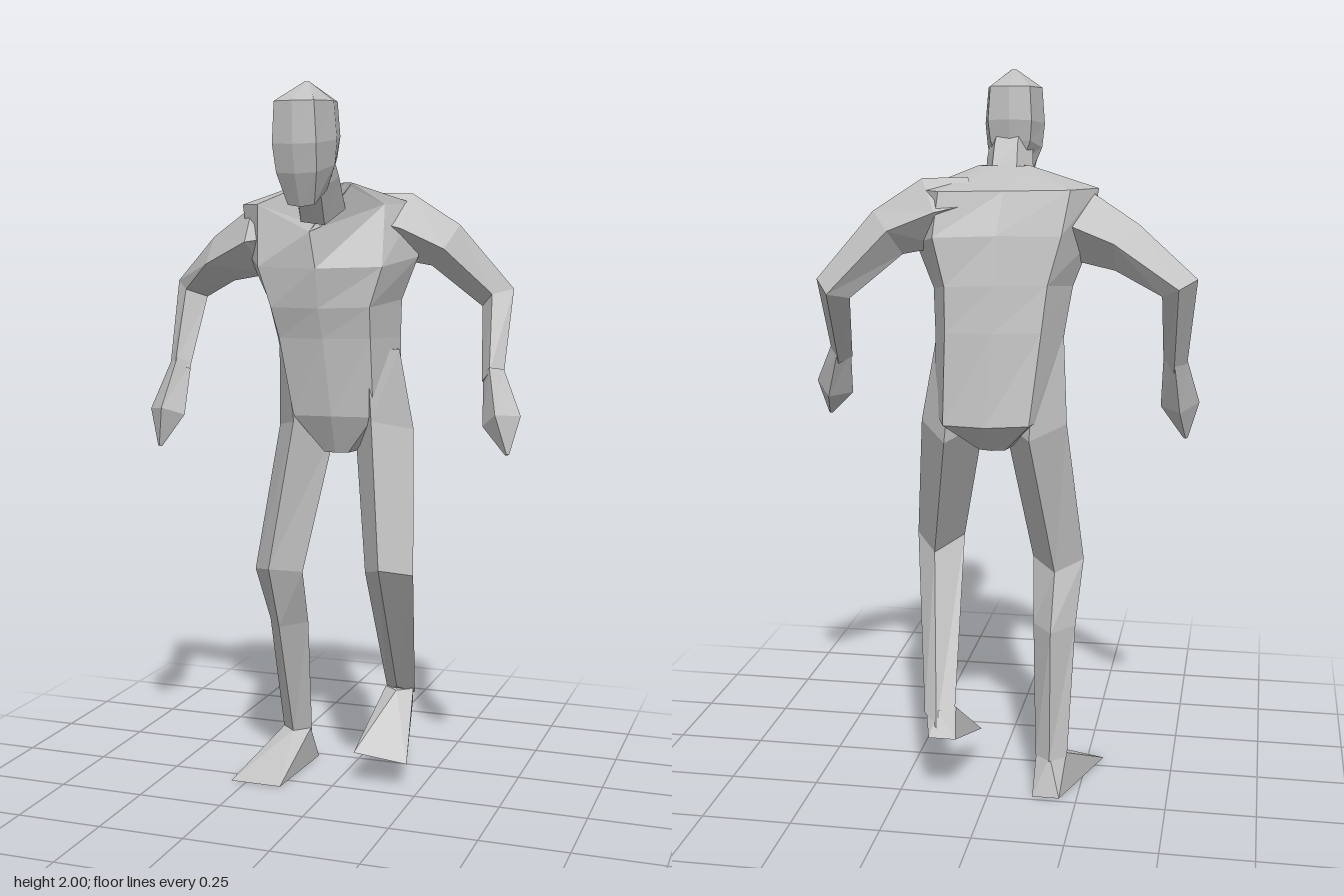
import * as THREE from 'three';
import { ConvexGeometry } from 'three/addons/geometries/ConvexGeometry.js';

const skin = new THREE.MeshStandardMaterial({ color: 0xc0c0c0, flatShading: true });
skin.name = 'plain grey';

// Unit outlines [x, z], counter-clockwise from the front
const diamond = [[0, 1], [1, 0], [0, -1], [-1, 0]];
const octagon = [[0, 1], [.72, .87], [1, 0], [.72, -.87], [0, -1], [-.72, -.87], [-1, 0], [-.72, .87]];

// Skin a stack of rings and cap both ends
function loft(rings) {
  const pos = [];
  const tri = (a, b, c) => pos.push(...a, ...b, ...c);
  const n = rings[0].length;
  for (let k = 0; k < rings.length - 1; k++) {
    const a = rings[k], b = rings[k + 1];
    for (let i = 0; i < n; i++) {
      const j = (i + 1) % n;
      tri(a[i], a[j], b[j]);
      tri(a[i], b[j], b[i]);
    }
  }
  const lo = rings[0], hi = rings[rings.length - 1];
  for (let i = 1; i < n - 1; i++) {
    tri(lo[0], lo[i + 1], lo[i]);
    tri(hi[0], hi[i], hi[i + 1]);
  }
  const g = new THREE.BufferGeometry();
  g.setAttribute('position', new THREE.Float32BufferAttribute(pos, 3));
  g.computeVertexNormals();
  return g;
}

// Level sections, bottom to top: centre, half width and depth, twist of the left side
// to the back, drop of the front edge, then bulge and dip of the front middle point
function stack(outline, sections) {
  return loft(sections.map(([x, y, z, w, d, twist = 0, drop = 0, bulge = 0, dip = 0]) =>
    outline.map(([ux, uz], i) => [
      x + w * ux,
      y - drop * uz - (i === 0 ? dip : 0),
      z + d * uz - twist * w * ux + (i === 0 ? bulge : 0),
    ])));
}

// Faceted tube along stations [x, y, z, radiusA, radiusB]
function limb(path, sides = 4) {
  const c = path.map(p => new THREE.Vector3(p[0], p[1], p[2]));
  const ref = new THREE.Vector3(0, 0, 1);
  return loft(path.map((p, k) => {
    const t = new THREE.Vector3();
    if (k > 0) t.add(c[k].clone().sub(c[k - 1]).normalize());
    if (k < c.length - 1) t.add(c[k + 1].clone().sub(c[k]).normalize());
    t.normalize();
    const u = ref.clone().cross(t).normalize();
    const v = t.clone().cross(u);
    return Array.from({ length: sides }, (_, i) => {
      const a = i / sides * Math.PI * 2;
      return c[k].clone().addScaledVector(u, p[3] * Math.cos(a))
        .addScaledVector(v, p[4] * Math.sin(a)).toArray();
    });
  }));
}

// Wedge foot between an ankle diamond, a heel edge and a wider toe edge
function foot(ankle, heel, toe, toeTilt) {
  const at = ([x, y, z], dx, dy, dz) => new THREE.Vector3(x + dx, y + dy, z + dz);
  const points = diamond.map(([ux, uz]) => at(ankle, ux * .043, 0, uz * .035));
  for (const s of [-1, 1]) {
    points.push(at(heel, s * .038, 0, 0), at(toe, s * .077, -s * toeTilt, -s * toeTilt));
  }
  return new ConvexGeometry(points);
}

export function createModel() {
  const model = new THREE.Group();
  model.name = 'walkingFigure';
  const add = (name, geometry) => {
    const m = new THREE.Mesh(geometry, skin);
    m.name = name;
    model.add(m);
  };

  // Torso from crotch to neck base, shoulders twisted
  add('torso', stack(octagon, [
    [0, .985, -.1, .05, .075],
    [.005, 1.08, -.115, .16, .14, .1, -.015],
    [-.01, 1.315, -.085, .175, .14, .2],
    [-.015, 1.42, -.065, .185, .145, .25, .02],
    [-.015, 1.54, -.055, .23, .135, .28, .03, .02],
    [-.03, 1.685, -.065, .235, .085, .31, 0, .085, .075],
    [0, 1.742, .04, .072, .02, 0, 0, .04, .12],
  ]));

  // Neck leaning forward
  add('neck', limb([[-.01, 1.68, .06, .07, .085], [0, 1.76, .13, .065, .075], [0, 1.83, .18, .06, .06]], 6));

  // Head from chin to crown
  add('head', stack(octagon, [
    [-.005, 1.72, .175, .052, .068, 0, .045],
    [-.005, 1.785, .187, .078, .095, 0, .025],
    [-.005, 1.85, .19, .085, .11, 0, .015],
    [-.005, 1.95, .193, .077, .107, 0, .005],
    [0, 2, .2, .007, .006],
  ]));

  // Arms growing out of the shoulders, bent at the elbow
  add('leftArm', limb([[.06, 1.65, -.1, .07, .07], [.165, 1.625, -.13, .095, .085], [.285, 1.572, -.155, .07, .075], [.425, 1.425, -.21, .052, .05], [.46, 1.21, -.01, .03, .035]]));
  add('rightArm', limb([[-.1, 1.6, 0, .07, .06], [-.215, 1.585, 0, .098, .085], [-.35, 1.532, -.055, .07, .075], [-.5, 1.44, -.165, .052, .052], [-.485, 1.21, -.03, .032, .035]]));

  // Hands: narrow wrist, wide palm, pointed fingers
  add('leftHand', limb([[.46, 1.23, -.02, .03, .035], [.5, 1.105, .05, .055, .055], [.525, 1.02, .085, .006, .006]]));
  add('rightHand', limb([[-.485, 1.23, -.04, .032, .035], [-.498, 1.09, .03, .054, .05], [-.515, .99, .05, .006, .006]]));

  // Legs from ankle to flank
  add('leftLeg', stack(diamond, [
    [.138, .235, -.237, .043, .047, 0, -.025],
    [.195, .668, .08, .07, .1, 0, -.03],
    [.12, 1.05, -.11, .088, .125, 0, -.035],
    [.1, 1.28, -.1, .067, .09],
  ]));
  add('rightLeg', stack(diamond, [
    [-.17, .1, -.17, .045, .04],
    [-.165, .465, -.085, .06, .085],
    [-.164, .635, 0, .073, .083, 0, -.02],
    [-.11, 1.05, -.1, .087, .12, 0, -.025],
    [-.115, 1.28, -.06, .067, .09],
  ]));

  // Feet, the left one lifted off the ground
  add('leftFoot', foot([.138, .25, -.22], [.12, .185, -.295], [.135, .088, -.035], .013));
  add('rightFoot', foot([-.17, .11, -.165], [-.163, 0, -.232], [-.22, 0, .057], 0));

  return model;
}
